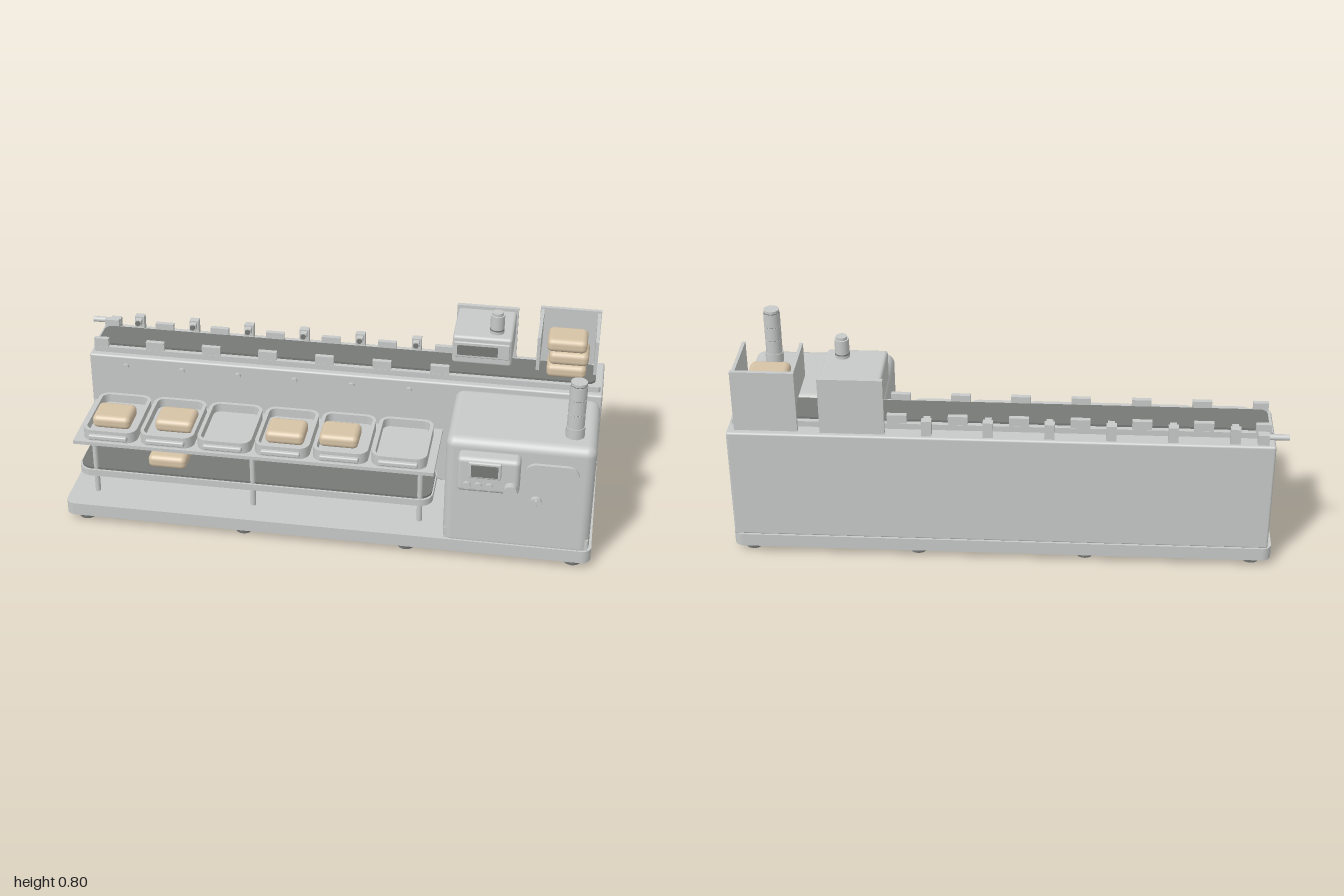
import * as THREE from 'three';
import { RoundedBoxGeometry } from 'three/addons/geometries/RoundedBoxGeometry.js';

const mat = (name, color) => Object.assign(new THREE.MeshStandardMaterial({ color }), { name });
const body = mat('light grey metal', 0xc6c9c7);
const dark = mat('dark rubber', 0x777977);
const crust = mat('tan package', 0xd6c3a6);

// Rounded rectangle outline centred on the origin
function outline(w, d, r, Type = THREE.Shape) {
  const s = new Type(), x = w / 2, y = d / 2, h = Math.PI / 2;
  s.absarc(x - r, y - r, r, 0, h);
  s.absarc(-x + r, y - r, r, h, 2 * h);
  s.absarc(-x + r, -y + r, r, 2 * h, 3 * h);
  s.absarc(x - r, -y + r, r, 3 * h, 4 * h);
  s.closePath();
  return s;
}

export function createModel() {
  const root = new THREE.Group();
  root.name = 'packingLine';

  const add = (name, geo, m, x = 0, y = 0, z = 0, parent = root) => {
    const mesh = new THREE.Mesh(geo, m);
    mesh.name = name;
    mesh.position.set(x, y, z);
    parent.add(mesh);
    return mesh;
  };
  // Box given by its limits on each axis; r rounds every edge
  const box = (name, m, x0, x1, y0, y1, z0, z1, r = 0, parent = root) => {
    const s = [x1 - x0, y1 - y0, z1 - z0];
    const g = r ? new RoundedBoxGeometry(...s, 4, r) : new THREE.BoxGeometry(...s);
    return add(name, g, m, (x0 + x1) / 2, (y0 + y1) / 2, (z0 + z1) / 2, parent);
  };
  // Slab with rounded plan corners and an optional opening
  const slab = (name, m, x0, x1, y0, y1, z0, z1, r, wall = 0, parent = root) => {
    const w = x1 - x0, d = z1 - z0, s = outline(w, d, r);
    if (wall) s.holes.push(outline(w - 2 * wall, d - 2 * wall, r - wall, THREE.Path));
    const g = new THREE.ExtrudeGeometry(s, { depth: y1 - y0, bevelEnabled: false, curveSegments: 8 });
    g.rotateX(-Math.PI / 2);
    return add(name, g, m, (x0 + x1) / 2, y0, (z0 + z1) / 2, parent);
  };
  // Upright cylinder from y0 to y1
  const post = (name, m, r, x, y0, y1, z, rTop = r) =>
    add(name, new THREE.CylinderGeometry(rTop, r, y1 - y0, 24), m, x, (y0 + y1) / 2, z);
  // Cylinder lying along z
  const knob = (name, m, r, x, y, z0, z1) => {
    const k = add(name, new THREE.CylinderGeometry(r, r, z1 - z0, 20), m, x, y, (z0 + z1) / 2);
    k.rotation.x = Math.PI / 2;
    return k;
  };
  const loaf = (x, y, z) => box('package', crust, x - 0.073, x + 0.073, y, y + 0.052, z - 0.06, z + 0.06, 0.02);

  // Base and feet
  slab('base', body, -0.97, 0.99, 0.028, 0.078, -0.36, 0.285, 0.035);
  for (const x of [-0.9, -0.295, 0.315, 0.925])
    for (const z of [-0.305, 0.233]) post('foot', dark, 0.031, x, 0, 0.028, z, 0.034);

  // Rear housing and front cabinet
  box('rearHousing', body, -0.955, 0.985, 0.075, 0.506, -0.353, -0.1, 0.008);
  const cabinet = new THREE.ExtrudeGeometry(outline(0.47, 0.306, 0.01), {
    depth: 0.369, bevelThickness: 0.03, bevelSize: 0.03, bevelSegments: 6, curveSegments: 4 });
  cabinet.dispose();
  box('cabinet', body, 0.45, 0.98, 0.05, 0.506, -0.087, 0.278, 0.035);
  box('cabinetSkirt', body, 0.455, 0.975, 0.076, 0.12, -0.082, 0.273);

  // Conveyor deck, belt and end shaft
  slab('deck', body, -0.945, 0.975, 0.505, 0.528, -0.295, -0.125, 0.012);
  slab('belt', dark, -0.935, 0.955, 0.528, 0.536, -0.277, -0.143, 0.03);
  const shaft = add('endShaft', new THREE.CylinderGeometry(0.011, 0.011, 0.1, 16), body, -0.95, 0.533, -0.327);
  shaft.rotation.z = Math.PI / 2;
  box('shaftBracket', body, -0.93, -0.89, 0.505, 0.545, -0.342, -0.312);

  // Guide blocks on both sides of the belt
  const pitch = 0.217, stations = [0, 1, 2, 3, 4, 5].map(i => -0.812 + i * pitch);
  for (let i = 0; i < 7; i++) {
    const x = -0.92 + i * pitch;
    for (const z of [-0.135, -0.285])
      box('guideBlock', body, Math.max(x - 0.035, -0.94), x + 0.035, 0.52, 0.561, z - 0.009, z + 0.009);
  }

  // Sensors behind the belt and nubs on the housing front
  for (const x of stations) {
    box('sensorPost', body, x - 0.018, x + 0.018, 0.5, 0.565, -0.34, -0.313);
    box('sensorArm', body, x - 0.012, x + 0.012, 0.538, 0.56, -0.315, -0.29);
    knob('sensorEye', dark, 0.01, x, 0.549, -0.29, -0.284);
    knob('housingNub', body, 0.011, x, 0.466, -0.102, -0.088);
  }

  // Upper table and lower belt shelf
  box('table', body, -0.945, 0.405, 0.292, 0.306, -0.1, 0.205);
  slab('lowerShelf', body, -0.94, 0.4, 0.15, 0.176, -0.03, 0.195, 0.05);
  slab('lowerBelt', dark, -0.935, 0.395, 0.176, 0.184, -0.022, 0.187, 0.05);
  for (const x of [-0.87, -0.27, 0.355]) {
    post('tableLeg', body, 0.01, x, 0.076, 0.293, 0.18);
    post('rearTableLeg', body, 0.01, x, 0.076, 0.293, -0.06);
    knob('shelfMount', body, 0.015, x, 0.16, -0.102, -0.01);
  }
  loaf(-0.603, 0.184, 0.1);

  // Open trays with front handles
  for (const x of stations) {
    const tray = new THREE.Group();
    tray.name = 'tray';
    root.add(tray);
    slab('trayWall', body, x - 0.102, x + 0.102, 0.306, 0.35, -0.087, 0.192, 0.04, 0.014, tray);
    slab('trayFloor', body, x - 0.092, x + 0.092, 0.307, 0.316, -0.077, 0.182, 0.03, 0, tray);
    box('trayHandle', body, x - 0.073, x + 0.073, 0.316, 0.336, 0.185, 0.206, 0.006, tray);
  }
  for (const [x, z] of [[-0.82, 0.065], [-0.582, 0.055], [-0.16, 0.068], [0.04, 0.058]]) loaf(x, 0.316, z);

  // Printing head over the belt
  box('headBackPanel', body, 0.422, 0.652, 0.5, 0.722, -0.335, -0.318);
  box('headBody', body, 0.428, 0.646, 0.6, 0.714, -0.32, -0.092, 0.012);
  box('headNozzle', body, 0.48, 0.59, 0.572, 0.602, -0.25, -0.17);
  box('headDisplay', body, 0.435, 0.638, 0.632, 0.694, -0.094, -0.084, 0.004);
  box('headScreen', dark, 0.447, 0.595, 0.643, 0.682, -0.085, -0.081);
  post('headBeacon', body, 0.026, 0.585, 0.71, 0.785, -0.147);
  post('headBeaconCap', body, 0.02, 0.585, 0.785, 0.796, -0.147);
  post('headBeaconBand', dark, 0.0265, 0.585, 0.726, 0.731, -0.147);

  // Feed hopper, open at the front, with its stack
  box('hopperBack', body, 0.732, 0.958, 0.5, 0.74, -0.33, -0.315);
  for (const x of [0.735, 0.943])
    box('hopperSide', body, x, x + 0.012, 0.6, 0.733, -0.316, -0.09);
  for (let i = 0; i < 3; i++) loaf(0.845 + [0, 0.006, -0.003][i], 0.536 + i * 0.053, -0.211);

  // Signal tower
  post('towerBase', body, 0.034, 0.897, 0.5, 0.546, 0.183);
  for (let i = 0; i < 3; i++) {
    post('towerSegment', body, 0.031, 0.897, 0.546 + i * 0.056, 0.6 + i * 0.056, 0.183);
    post('towerRing', dark, 0.0295, 0.897, 0.598 + i * 0.056, 0.603 + i * 0.056, 0.183);
  }
  post('towerCap', body, 0.029, 0.897, 0.714, 0.725, 0.183);

  // Control panel
  box('controlPanel', body, 0.498, 0.72, 0.326, 0.468, 0.27, 0.336, 0.018);
  box('displayFrame', body, 0.538, 0.655, 0.392, 0.458, 0.33, 0.346, 0.006);
  box('displayScreen', dark, 0.549, 0.644, 0.402, 0.448, 0.345, 0.35);
  for (const x of [0.535, 0.575, 0.615]) knob('button', body, 0.014, x, 0.358, 0.33, 0.346);
  knob('dial', body, 0.024, 0.69, 0.358, 0.33, 0.364);

  // Cabinet door and latch
  const door = new THREE.ExtrudeGeometry(outline(0.19, 0.335, 0.04), { depth: 0.016, bevelEnabled: false });
  add('door', door, body, 0.83, 0.267, 0.275);
  knob('latch', body, 0.021, 0.78, 0.284, 0.29, 0.308);
  box('latchGrip', body, 0.775, 0.785, 0.265, 0.303, 0.306, 0.322);

  return root;
}
